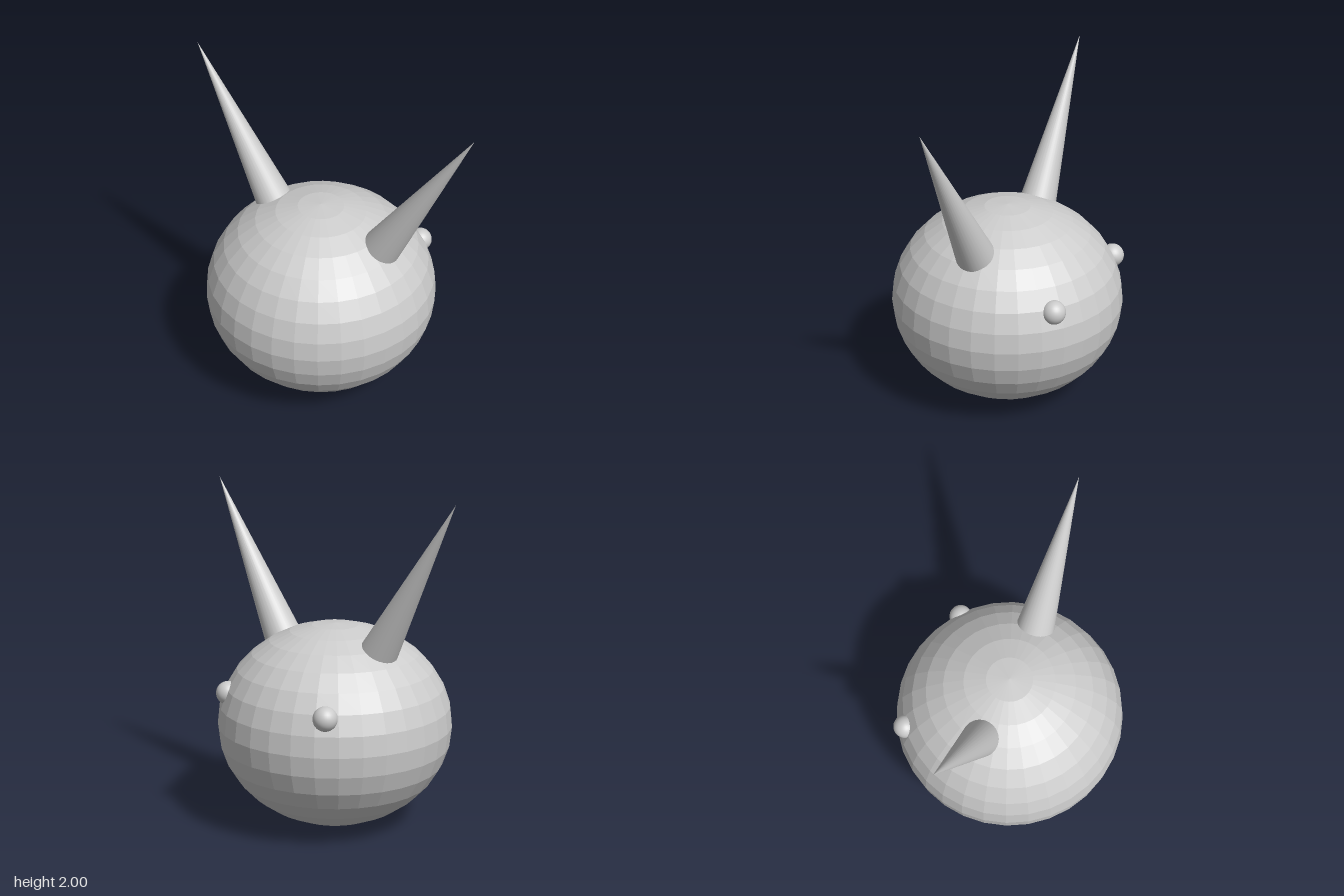
import * as THREE from 'three';

export function createModel() {
  const group = new THREE.Group();
  const smooth = new THREE.MeshStandardMaterial({ color: 0xcccccc });
  const faceted = new THREE.MeshStandardMaterial({ color: 0xcccccc, flatShading: true });

  const add = (name, geometry, material, x, y, z) => {
    const mesh = new THREE.Mesh(geometry, material);
    mesh.name = name;
    mesh.position.set(x, y, z);
    group.add(mesh);
    return mesh;
  };

  // Squashed, faceted round body
  const body = new THREE.SphereGeometry(0.7, 32, 16);
  body.scale(1, 0.608 / 0.7, 1);
  add('body', body, faceted, 0, 0.612, -0.037);

  // Two long horns leaning outwards; the origin of each is its tip
  const length = 1.25;
  const horn = new THREE.ConeGeometry(0.133, length, 32);
  horn.translate(0, -length / 2, 0);
  for (const [name, side] of [['frontHorn', 1], ['backHorn', -1]]) {
    add(name, horn, smooth, 0.018, 2, side * 0.93).rotation.x = side * 0.536;
  }

  // Small round eyes half sunk into the left side of the body
  const eye = new THREE.SphereGeometry(0.07, 32, 16);
  add('frontEye', eye, smooth, 0.507, 0.82, 0.35);
  add('backEye', eye, smooth, 0.508, 0.825, -0.44);

  return group;
}
